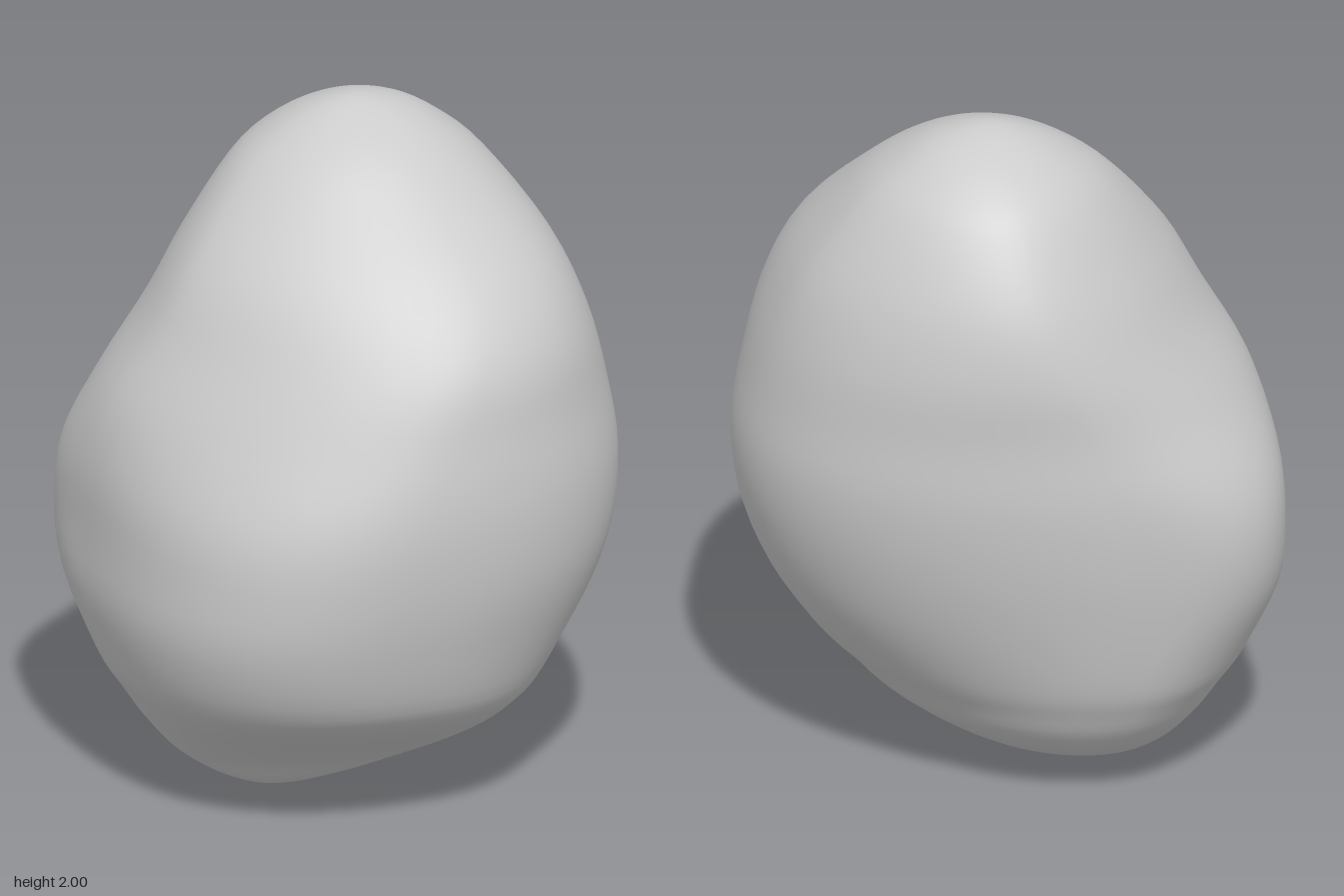
import * as THREE from 'three';
import { mergeVertices } from 'three/addons/utils/BufferGeometryUtils.js';

// Outline of the stone by height: y, right, left, back, front
const outline = [
  [0, -0.21, -0.21, -0.05, -0.05],
  [0.03, -0.34, -0.06, -0.18, 0.03],
  [0.1, -0.46, 0.15, -0.37, 0.13],
  [0.2, -0.55, 0.32, -0.49, 0.30],
  [0.3, -0.62, 0.42, -0.555, 0.465],
  [0.4, -0.68, 0.51, -0.60, 0.565],
  [0.6, -0.74, 0.64, -0.645, 0.635],
  [0.8, -0.745, 0.715, -0.675, 0.675],
  [1.0, -0.74, 0.74, -0.685, 0.685],
  [1.2, -0.69, 0.715, -0.67, 0.66],
  [1.4, -0.58, 0.67, -0.66, 0.61],
  [1.6, -0.47, 0.59, -0.61, 0.475],
  [1.8, -0.31, 0.45, -0.50, 0.25],
  [1.9, -0.19, 0.34, -0.40, 0.12],
  [1.97, -0.06, 0.22, -0.27, -0.02],
  [2, 0.07, 0.07, -0.14, -0.14],
];

// Section character every 0.4 of height: where each side bulges most (+x, +z, -x, -z),
// then the fullness of the four corners (+x+z, -x+z, -x-z, +x-z)
const character = [
  [0.92, 0.9, 0.48, 0.4, 2.4, 1.75, 1.9, 1.9],
  [0.6, 0.56, 0.4, 0.34, 2.2, 2.4, 2.0, 1.9],
  [0.55, 0.51, 0.36, 0.32, 2.15, 2.45, 2.8, 2.05],
  [0.51, 0.52, 0.44, 0.42, 2.15, 1.7, 2.0, 1.95],
  [0.46, 0.58, 0.52, 0.5, 2.25, 1.65, 1.8, 1.7],
  [0.5, 0.52, 0.5, 0.5, 2.0, 1.9, 1.9, 1.9],
];

// Rows past either pole are mirrored so the surface closes in a round cap
function outlineRow(i) {
  const last = outline.length - 1;
  if (i >= 0 && i <= last) return outline[i];
  const [y, x0, x1, z0, z1] = outline[i < 0 ? -i : 2 * last - i];
  return [y, x1, x0, z1, z0];
}

const characterRow = (i) => character[THREE.MathUtils.clamp(i, 0, character.length - 1)];

// Smooth blend between rows
function blend(rowAt, s) {
  const i = Math.floor(s), t = s - i;
  const [a, b, c, d] = [-1, 0, 1, 2].map((k) => rowAt(i + k));
  return b.map((p, k) => p + 0.5 * t * (c[k] - a[k]
    + t * (2 * a[k] - 5 * p + 4 * c[k] - d[k] + t * (3 * (p - c[k]) + d[k] - a[k]))));
}

function stoneGeometry(perRow = 4, sides = 72) {
  const rings = (outline.length - 1) * perRow;
  const positions = [], index = [];
  for (let i = 0; i <= rings; i++) {
    const [y, x0, x1, z0, z1] = blend(outlineRow, i / perRow);
    const shape = blend(characterRow, y / 0.4);
    const bulgeR = THREE.MathUtils.lerp(z0, z1, shape[0]);
    const bulgeF = THREE.MathUtils.lerp(x0, x1, shape[1]);
    const bulgeL = THREE.MathUtils.lerp(z0, z1, shape[2]);
    const bulgeB = THREE.MathUtils.lerp(x0, x1, shape[3]);
    for (let j = 0; j < sides; j++) {
      // Each quarter is a superellipse between two neighbouring bulges
      const quarter = Math.floor((4 * j) / sides);
      const angle = (j / sides) * Math.PI * 2;
      const c = Math.cos(angle), s = Math.sin(angle), n = shape[4 + quarter];
      const r = Math.pow(Math.abs(c) ** n + Math.abs(s) ** n, -1 / n);
      const onRight = quarter === 0 || quarter === 3;
      const cx = quarter < 2 ? bulgeF : bulgeB;
      const cz = onRight ? bulgeR : bulgeL;
      const rx = onRight ? x1 - cx : cx - x0;
      const rz = quarter < 2 ? z1 - cz : cz - z0;
      positions.push(cx + rx * r * c, y, cz + rz * r * s);
      if (i < rings) {
        const a = i * sides + j, b = i * sides + ((j + 1) % sides);
        index.push(a, a + sides, b, b, a + sides, b + sides);
      }
    }
  }
  const geometry = new THREE.BufferGeometry();
  geometry.setAttribute('position', new THREE.Float32BufferAttribute(positions, 3));
  geometry.setIndex(index);
  const welded = mergeVertices(geometry, 1e-5);
  welded.computeVertexNormals();
  return welded;
}

export function createModel() {
  const group = new THREE.Group();
  group.name = 'rock';
  const stone = new THREE.Mesh(stoneGeometry(), new THREE.MeshStandardMaterial({ color: 0xcccccc }));
  stone.name = 'stone';
  group.add(stone);
  return group;
}
